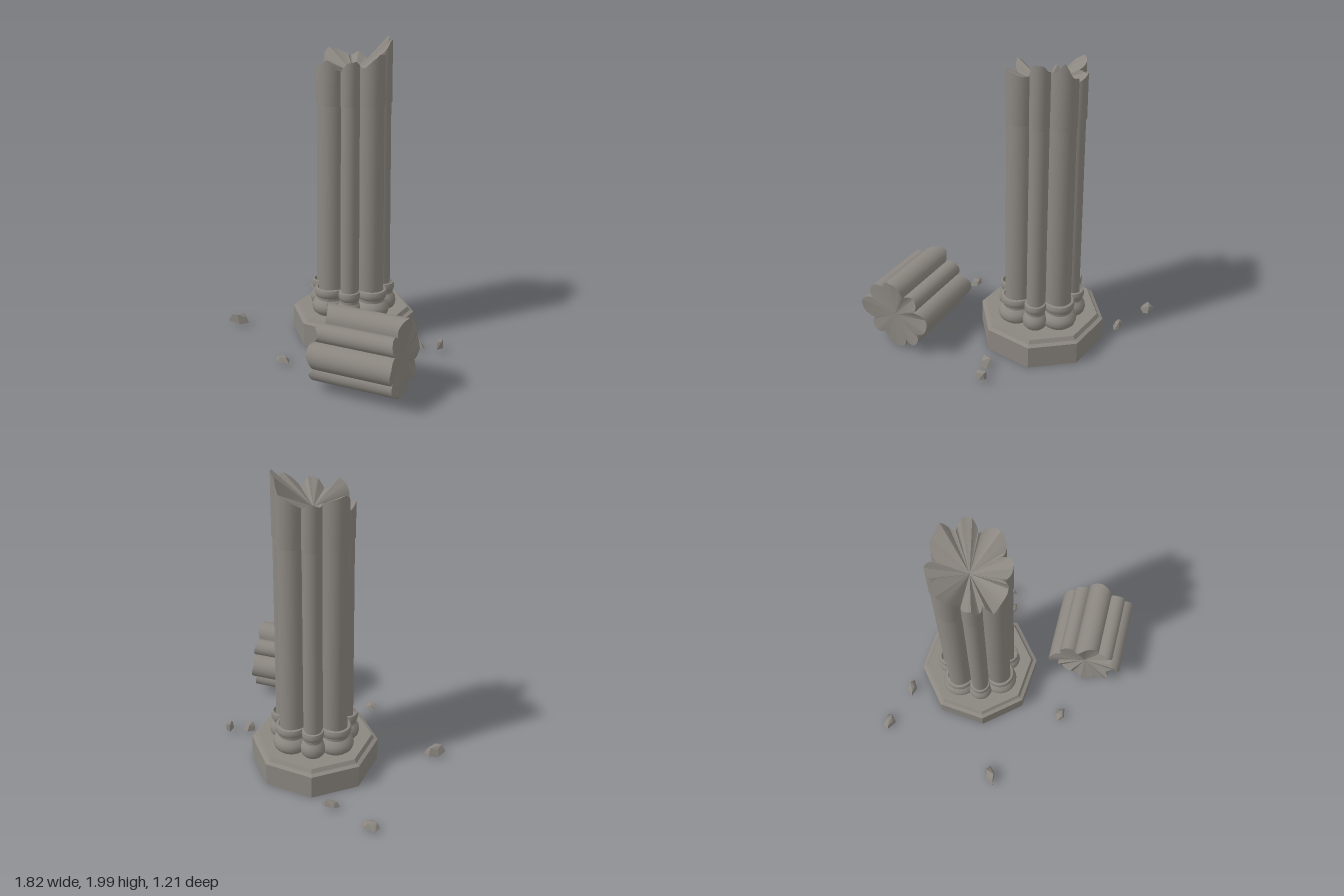
import * as THREE from 'three';
import { toCreasedNormals } from 'three/addons/utils/BufferGeometryUtils.js';
import { ConvexGeometry } from 'three/addons/geometries/ConvexGeometry.js';

const stone = new THREE.MeshStandardMaterial({ color: 0x8b8680, side: THREE.DoubleSide });
stone.name = 'weathered stone';

const BIG = { dist: 0.178, r: 0.085, half: 97 };
const SMALL = { dist: 0.184, r: 0.06, half: 94 };
const STEPS = 12;
const rad = THREE.MathUtils.degToRad;

// Seeded random numbers
function seeded(seed) {
  return () => {
    seed = (seed * 16807) % 2147483647;
    return seed / 2147483647;
  };
}

// Eight-lobed cross-section: large lobes on the axes, small ones between
function clover(scale, heightAt) {
  const loop = [];
  for (let k = 0; k < 8; k++) {
    const lobe = k % 2 ? SMALL : BIG, mid = rad(k * 45);
    for (let i = 0; i < STEPS; i++) {
      const phi = mid + rad(lobe.half) * ((2 * i) / STEPS - 1);
      const x = (Math.cos(mid) * lobe.dist + Math.cos(phi) * lobe.r) * scale;
      const z = (Math.sin(mid) * lobe.dist + Math.sin(phi) * lobe.r) * scale;
      const angle = (THREE.MathUtils.radToDeg(Math.atan2(z, x)) + 360) % 360;
      loop.push(new THREE.Vector3(x, heightAt(angle), z));
    }
  }
  return loop;
}

// Skin between loops, with optional fans closing to a centre height
function loft(loops, bottomY, topY) {
  const pts = [], n = loops[0].length;
  const tri = (...v) => v.forEach((p) => pts.push(p.x, p.y, p.z));
  const fan = (loop, y, flip) => {
    const o = new THREE.Vector3(0, y, 0);
    loop.forEach((p, j) => {
      const q = loop[(j + 1) % n];
      flip ? tri(o, p, q) : tri(o, q, p);
    });
  };
  for (let i = 0; i + 1 < loops.length; i++) {
    for (let j = 0; j < n; j++) {
      const k = (j + 1) % n;
      const a = loops[i][j], b = loops[i][k], c = loops[i + 1][j], d = loops[i + 1][k];
      tri(a, c, b);
      tri(b, c, d);
    }
  }
  if (bottomY !== undefined) fan(loops[0], bottomY, true);
  if (topY !== undefined) fan(loops[loops.length - 1], topY, false);
  const geo = new THREE.BufferGeometry();
  geo.setAttribute('position', new THREE.Float32BufferAttribute(pts, 3));
  return toCreasedNormals(geo, 0.42);
}

// Piecewise-linear height by angle, wrapping at 360 degrees
function profileOf(table) {
  return (angle) => {
    for (let i = 0; i < table.length; i++) {
      const [a0, h0] = table[i];
      const [a1, h1] = i + 1 < table.length ? table[i + 1] : [360, table[0][1]];
      if (angle >= a0 && angle <= a1) return h0 + ((h1 - h0) * (angle - a0)) / (a1 - a0);
    }
    return table[0][1];
  };
}

function jagged(base, amount, count, seed) {
  const rnd = seeded(seed);
  const table = [];
  for (let i = 0; i < count; i++) table.push([(i * 360) / count, base + (rnd() * 2 - 1) * amount]);
  return profileOf(table);
}

function addMesh(parent, name, geo) {
  const mesh = new THREE.Mesh(geo, stone);
  mesh.name = name;
  parent.add(mesh);
  return mesh;
}

export function createModel() {
  const model = new THREE.Group();
  model.name = 'ruinedColumn';
  const column = new THREE.Group();
  column.name = 'standingColumn';
  column.position.set(-0.12, 0, -0.2);
  model.add(column);
  const vec = ([x, y]) => new THREE.Vector2(x, y);

  // Octagonal plinth, hollow beneath
  const plinth = [[0.41, 0.01], [0.41, 0.165], [0.385, 0.175], [0.37, 0.2], [0.2, 0.2]].map(vec);
  addMesh(column, 'plinth', toCreasedNormals(new THREE.LatheGeometry(plinth, 8), 0.2));

  // Moulded base under each lobe
  const moulding = [
    [0.09, 0.2], [0.108, 0.217], [0.116, 0.245], [0.11, 0.272], [0.092, 0.292], [0.084, 0.3],
    [0.084, 0.318], [0.094, 0.325], [0.1, 0.34], [0.1, 0.36], [0.094, 0.375], [0.08, 0.378],
  ];
  for (let k = 0; k < 8; k++) {
    const s = k % 2 ? 0.7 : 1, d = k % 2 ? 0.207 : 0.197;
    const profile = moulding.map(([r, y]) => vec([r * s, y]));
    const base = addMesh(column, 'lobeBase', toCreasedNormals(new THREE.LatheGeometry(profile, 24), 0.6));
    base.position.set(Math.cos(rad(k * 45)) * d, 0, Math.sin(rad(k * 45)) * d);
  }

  // Slightly tapering shaft
  addMesh(column, 'shaft', loft([clover(1.015, () => 0.3), clover(0.975, () => 1.592)]));

  // Broken top, sinking to a splintered centre
  const breakLine = profileOf([
    [0, 1.91], [12, 1.87], [22, 1.82], [34, 1.87], [48, 1.86], [60, 1.8], [70, 1.82], [78, 1.88],
    [90, 1.84], [98, 1.79], [104, 1.67], [114, 1.74], [126, 1.73], [136, 1.82], [152, 1.76],
    [166, 1.87], [180, 1.91], [196, 1.89], [212, 1.85], [226, 1.88], [243, 1.83], [258, 1.89],
    [269, 1.9], [281, 2.0], [292, 1.92], [301, 1.94], [308, 1.98], [322, 1.98], [334, 1.89], [348, 1.9],
  ]);
  addMesh(column, 'brokenTop', loft([clover(1, () => 1.59), clover(0.99, breakLine)], undefined, 1.77));

  // Fallen drum lying on its side
  const drum = addMesh(model, 'fallenDrum', loft([
    clover(0.965, jagged(-0.25, 0.035, 26, 77)),
    clover(0.965, () => -0.2),
    clover(0.965, () => 0.2),
    clover(0.965, jagged(0.25, 0.018, 18, 31)),
  ], -0.225, 0.235));
  drum.position.set(0.575, 0.262, 0.255);
  drum.rotation.set(0, 0.49, -Math.PI / 2);

  // Scattered rubble: x, z, width, height, depth, turn
  const rubble = [
    [-0.85, -0.42, 0.13, 0.045, 0.09, 0.4], [-0.56, -0.47, 0.12, 0.07, 0.08, 0.5],
    [0.48, -0.44, 0.07, 0.065, 0.1, 0.5], [0.385, -0.34, 0.1, 0.065, 0.09, 0],
    [-0.65, 0.38, 0.08, 0.08, 0.15, -0.6], [0.01, 0.46, 0.11, 0.05, 0.09, 0.1],
  ];
  rubble.forEach(([x, z, w, h, d, turn], i) => {
    const rnd = seeded(101 + i * 977);
    const corners = [];
    for (let k = 0; k < 10; k++) {
      const a = k * 1.257 + rnd() * 0.5, r = 0.35 + rnd() * 0.2;
      const y = k < 5 ? rnd() * 0.35 : 0.6 + rnd() * 0.4;
      const pinch = k < 5 ? 1 : 0.65;
      corners.push(new THREE.Vector3(Math.cos(a) * r * pinch * w, y * h, Math.sin(a) * r * pinch * d));
    }
    const chip = addMesh(model, 'rubble', new ConvexGeometry(corners));
    chip.position.set(x, 0.02, z);
    chip.rotation.y = turn;
  });

  return model;
}
